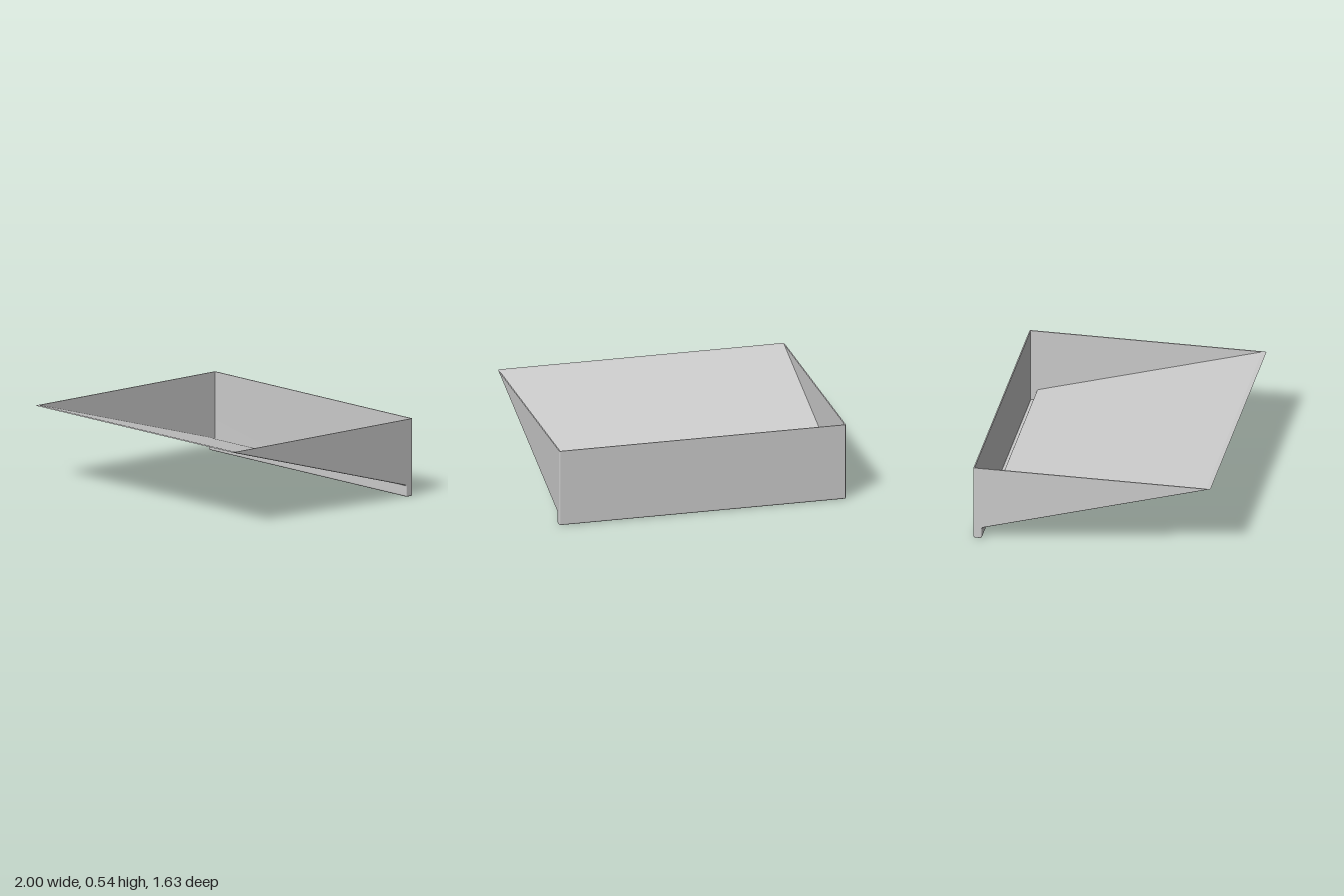
import * as THREE from 'three';

const TOP = 0.535;      // rim height
const FRONT = 0.813;    // z of the front lip
const BACK = -0.815;    // z of the back wall
const STEP = -0.757;    // z where the sloped floor drops into the channel
const SLOPE = 0.29;     // floor rise per unit of z
const WALL = 0.008;     // wall thickness, also the edge rounding
const R = 0.012;        // fillet radius of the channel
const ARC = 5;          // segments per fillet

// Side profile [z, y] from front lip to back rim, inset by d from the outer skin
function profile(d) {
  const len = Math.hypot(1, SLOPE);
  const floorY = (z) => TOP - SLOPE * (FRONT - z);
  const pts = [[FRONT - (d * len) / SLOPE, TOP]];
  const arc = (cz, cy, r, a0, a1) => {
    for (let i = 0; i <= ARC; i++) {
      const a = a0 + ((a1 - a0) * i) / ARC;
      pts.push([cz + r * Math.cos(a), cy + r * Math.sin(a)]);
    }
  };
  const cz = STEP + R;
  arc(cz, floorY(cz) - R * len, R + d, Math.PI / 2 + Math.atan(SLOPE), Math.PI);
  arc(STEP - R, R, R - d, 0, -Math.PI / 2);
  arc(BACK + R, R, R - d, -Math.PI / 2, -Math.PI);
  pts.push([BACK + d, TOP]);
  return pts;
}

// Skin through profiles placed at [x, inset] stations
function skin(stations, inward) {
  const pos = [], index = [];
  const n = profile(0).length;
  stations.forEach(([x, d]) => profile(d).forEach(([z, y]) => pos.push(x, y, z)));
  for (let s = 0; s < stations.length - 1; s++) {
    for (let i = 0; i < n - 1; i++) {
      const a = s * n + i, b = a + 1, c = a + n, e = c + 1;
      if (inward) index.push(a, c, b, b, c, e);
      else index.push(a, b, c, b, e, c);
    }
  }
  const g = new THREE.BufferGeometry();
  g.setAttribute('position', new THREE.Float32BufferAttribute(pos, 3));
  g.setIndex(index);
  g.computeVertexNormals();
  return g;
}

// Flat triangular side face at x, facing along dir (+1 or -1)
function sideFace(d, x, dir) {
  const shape = new THREE.Shape(profile(d).map(([z, y]) => new THREE.Vector2(-dir * z, y)));
  return new THREE.ShapeGeometry(shape).rotateY((dir * Math.PI) / 2).translate(x, 0, 0);
}

// Flat top edge of the walls
function rim(outer, inner) {
  const loop = (stations) => {
    const ends = stations.map(([x, d]) => {
      const p = profile(d);
      return [new THREE.Vector2(x, -p[0][0]), new THREE.Vector2(x, -p[p.length - 1][0])];
    });
    return [...ends.map((e) => e[0]), ...ends.map((e) => e[1]).reverse()];
  };
  const shape = new THREE.Shape(loop(outer));
  shape.holes.push(new THREE.Path(loop(inner)));
  return new THREE.ShapeGeometry(shape).rotateX(-Math.PI / 2).translate(0, TOP, 0);
}

export function createModel() {
  const group = new THREE.Group();
  group.name = 'wedgeTray';
  const material = new THREE.MeshStandardMaterial({ color: 0xcccccc, side: THREE.DoubleSide });
  const add = (name, geometry) => {
    const mesh = new THREE.Mesh(geometry, material);
    mesh.name = name;
    group.add(mesh);
  };

  // Outer stations follow a quarter circle so the side edges are rounded
  const right = [];
  for (let i = 0; i <= ARC; i++) {
    const a = (i / ARC) * (Math.PI / 2);
    right.push([-1 + WALL * (1 - Math.sin(a)), WALL * (1 - Math.cos(a))]);
  }
  right.reverse();
  // Rounded corner: full inset on the side face, none on the main skin
  const corner = right.map((_, i) => {
    const a = (i / ARC) * (Math.PI / 2);
    return [-1 + WALL * (1 - Math.cos(a)), WALL * (1 - Math.sin(a))];
  });
  const outer = [...corner, ...corner.map(([x, d]) => [-x, d]).reverse()];
  const inner = [[-1 + WALL, WALL], [1 - WALL, WALL]];

  add('outerShell', skin(outer, false));
  add('innerShell', skin(inner, true));
  add('rim', rim(outer, inner));
  for (const [side, name] of [[1, 'left'], [-1, 'right']]) {
    add(name + 'WallOuter', sideFace(WALL, side, side));
    add(name + 'WallInner', sideFace(WALL, side * (1 - WALL), -side));
  }
  return group;
}
